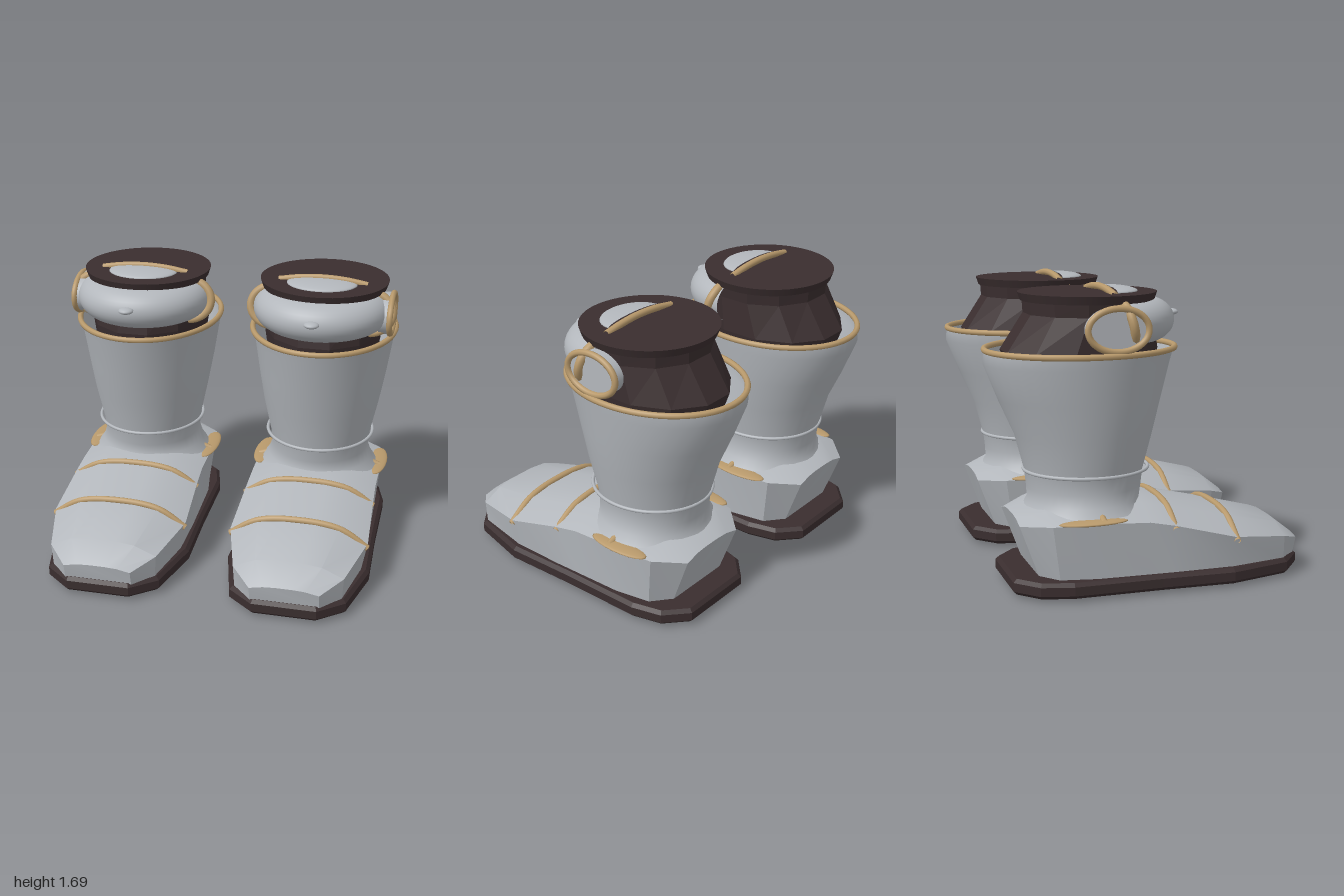
import * as THREE from 'three';
import { toCreasedNormals } from 'three/addons/utils/BufferGeometryUtils.js';

const V = (x, y, z) => new THREE.Vector3(x, y, z);

// Skin over closed cross-sections, with optional end caps
function loft(rings, capped = true) {
  const n = rings[0].length, pos = [], idx = [];
  rings.forEach(r => r.forEach(p => pos.push(p.x, p.y, p.z)));
  for (let i = 0; i < rings.length - 1; i++) {
    for (let j = 0; j < n; j++) {
      const a = i * n + j, b = i * n + (j + 1) % n;
      idx.push(a, a + n, b, b, a + n, b + n);
    }
  }
  if (capped) {
    const last = (rings.length - 1) * n;
    for (let j = 1; j < n - 1; j++) {
      idx.push(0, j, j + 1, last, last + j + 1, last + j);
    }
  }
  const g = new THREE.BufferGeometry();
  g.setAttribute('position', new THREE.Float32BufferAttribute(pos, 3));
  g.setIndex(idx);
  g.computeVertexNormals();
  return g;
}

// Horizontal ellipse spanning zFront to zBack
function oval(y, rx, zFront, zBack, n) {
  const c = (zFront + zBack) / 2, rz = (zFront - zBack) / 2;
  return Array.from({ length: n }, (_, j) => {
    const a = ((j + 0.5) / n) * Math.PI * 2;
    return V(rx * Math.cos(a), y, c + rz * Math.sin(a));
  });
}

const tube = (pts, r, closed = false) =>
  new THREE.TubeGeometry(new THREE.CatmullRomCurve3(pts, closed), closed ? 64 : 24, r, 8, closed);

// Bevelled slab from half an outline of [halfWidth, z]
function slab(half, y, depth, bevel) {
  const s = new THREE.Shape();
  const pts = [...half, ...half.slice().reverse().map(([x, z]) => [-x, z])];
  pts.forEach(([x, z], i) => (i ? s.lineTo(x, -z) : s.moveTo(x, -z)));
  const g = new THREE.ExtrudeGeometry(s, {
    depth, bevelEnabled: true, bevelThickness: bevel, bevelSize: bevel, bevelSegments: 1,
  });
  g.rotateX(-Math.PI / 2);
  g.translate(0, y + bevel, 0);
  return g;
}

export function createModel() {
  const mat = (name, color) => new THREE.MeshStandardMaterial({ name, color, side: THREE.DoubleSide });
  const silver = mat('silver', 0xb3b7bc);
  const tan = mat('tan', 0xb99a6c);
  const dark = mat('darkBrown', 0x3a2e2f);

  function makeBoot(side) {
    const boot = new THREE.Group();
    const add = (name, geo, m, x = 0, y = 0, z = 0) => {
      const mesh = new THREE.Mesh(geo, m);
      mesh.name = name;
      mesh.position.set(x, y, z);
      boot.add(mesh);
      return mesh;
    };

    // Sole with a pale tread panel underneath
    const outline = [[0.18, 0.885], [0.32, 0.77], [0.405, 0.42], [0.39, 0], [0.385, -0.5], [0.34, -0.67], [0.22, -0.78]];
    add('sole', slab(outline, 0.02, 0.05, 0.02), dark);
    add('treadPanel', slab([[0.16, 0.72], [0.25, 0.6], [0.28, 0.35], [0.26, -0.5], [0.2, -0.6]], 0.002, 0.01, 0.012), silver);

    // Foot: [z, zBottom, bottomHalf, edgeHalf, edgeY, crownY]
    const foot = [
      [0.90, 0.88, 0.20, 0.20, 0.19, 0.21],
      [0.77, 0.77, 0.31, 0.32, 0.24, 0.31],
      [0.43, 0.43, 0.375, 0.41, 0.29, 0.395],
      [0.08, 0.08, 0.375, 0.395, 0.38, 0.475],
      [-0.07, -0.07, 0.37, 0.39, 0.41, 0.50],
      [-0.35, -0.35, 0.36, 0.39, 0.425, 0.49],
      [-0.61, -0.56, 0.32, 0.36, 0.42, 0.485],
      [-0.76, -0.65, 0.21, 0.22, 0.40, 0.43],
    ].map(([z, zb, b, e, ey, cy]) => {
      const mid = ey + (cy - ey) * 0.8;
      return [V(b, 0.1, zb), V(e, ey, z), V(e * 0.6, mid, z), V(e * 0.25, cy, z),
        V(-e * 0.25, cy, z), V(-e * 0.6, mid, z), V(-e, ey, z), V(-b, 0.1, zb)];
    });
    add('foot', toCreasedNormals(loft(foot), 0.45), silver);

    // Straps over the foot: [z, halfWidth, endY, crownY]
    for (const [z, w, ey, cy] of [[0.44, 0.41, 0.265, 0.395], [0.08, 0.395, 0.355, 0.475], [-0.33, 0.385, 0.43, 0.49]]) {
      const mid = ey + (cy - ey) * 0.8;
      add('footStrap', tube([V(-w, ey, z), V(-w * 0.6, mid, z), V(0, cy + 0.004, z), V(w * 0.6, mid, z), V(w, ey, z)], 0.02), tan);
    }
    // Flat ankle leaves
    for (const s of [-1, 1]) {
      add('ankleLeaf', new THREE.SphereGeometry(1, 20, 10), tan, s * 0.365, 0.43, -0.385).scale.set(0.06, 0.014, 0.195);
    }

    // Leg: flared open shaft
    const leg = [
      [0.44, 0.36, 0.02, -0.69], [0.49, 0.325, -0.025, -0.655], [0.56, 0.30, -0.01, -0.66], [0.65, 0.31, 0, -0.67],
      [0.86, 0.355, 0.055, -0.725], [1.06, 0.39, 0.105, -0.815], [1.26, 0.42, 0.157, -0.895], [1.335, 0.43, 0.178, -0.89],
    ].map(([y, rx, f, b]) => oval(y, rx, f, b, 40));
    add('leg', loft(leg, false), silver);
    add('ankleRing', tube(oval(0.66, 0.327, 0.03, -0.675, 32), 0.01, true), silver);
    add('collarRim', tube(oval(1.335, 0.433, 0.183, -0.885, 32), 0.017, true), tan);

    // Faceted inner column and its round lid
    const column = [
      [0.95, 0.3, 0.02, -0.66], [1.33, 0.36, 0.085, -0.80], [1.53, 0.35, 0.05, -0.665], [1.61, 0.36, 0.05, -0.67],
    ].map(([y, rx, f, b]) => oval(y, rx, f, b, 12));
    const columnGeo = loft(column).toNonIndexed();
    columnGeo.computeVertexNormals();
    add('innerColumn', columnGeo, dark);
    add('lid', new THREE.CylinderGeometry(0.385, 0.37, 0.045, 48), dark, 0, 1.6225, -0.31);

    // Half dome and arched handle on the lid
    add('lidDome', new THREE.SphereGeometry(1, 24, 8, Math.PI, -Math.PI, 0, Math.PI / 2), silver, 0, 1.645, -0.2)
      .scale.set(0.21, 0.03, 0.17);
    add('lidHandle', tube([V(-0.265, 1.64, -0.235), V(-0.14, 1.66, -0.235), V(0, 1.668, -0.235),
      V(0.14, 1.66, -0.235), V(0.265, 1.64, -0.235)], 0.02), tan);

    // Padded cuff around the front
    const pad = [];
    for (let i = 0; i <= 16; i++) {
      const a = -Math.PI / 2 + (Math.PI * i) / 16;
      pad.push(new THREE.Vector2(0.27 + 0.14 * Math.cos(a), 0.12 * Math.sin(a)));
    }
    add('frontPad', new THREE.LatheGeometry(pad, 36, -Math.PI / 2, Math.PI), silver, 0, 1.49, -0.235);
    add('padButton', new THREE.SphereGeometry(1, 16, 12), silver, 0, 1.515, 0.18).scale.set(0.045, 0.019, 0.043);

    // Curved bands at the ends of the pad
    for (const s of [-1, 1]) {
      const pts = [];
      for (let i = 0; i <= 8; i++) {
        const a = -1.5 + (3 * i) / 8;
        pts.push(V(s * (0.275 + 0.15 * Math.cos(a)), 1.49 + 0.12 * Math.sin(a), -0.18 - 0.03 * Math.sin(a)));
      }
      add('padBand', tube(pts, 0.025), tan);
    }

    // Oval side plate with a rim on the outer side
    const plate = add('sidePlate', new THREE.CylinderGeometry(1, 1, 0.06, 36), silver, side * 0.38, 1.47, -0.26);
    plate.rotation.z = Math.PI / 2;
    plate.scale.set(0.12, 1, 0.17);
    const rim = oval(0, 0.115, 0.168, -0.168, 28).map(p => V(side * 0.415, 1.47 + p.x, p.z - 0.26));
    add('sidePlateRim', tube(rim, 0.018, true), tan);

    boot.name = side > 0 ? 'leftBoot' : 'rightBoot';
    boot.position.x = side * 0.548;
    return boot;
  }

  const model = new THREE.Group();
  model.name = 'boots';
  model.add(makeBoot(1), makeBoot(-1));
  return model;
}
